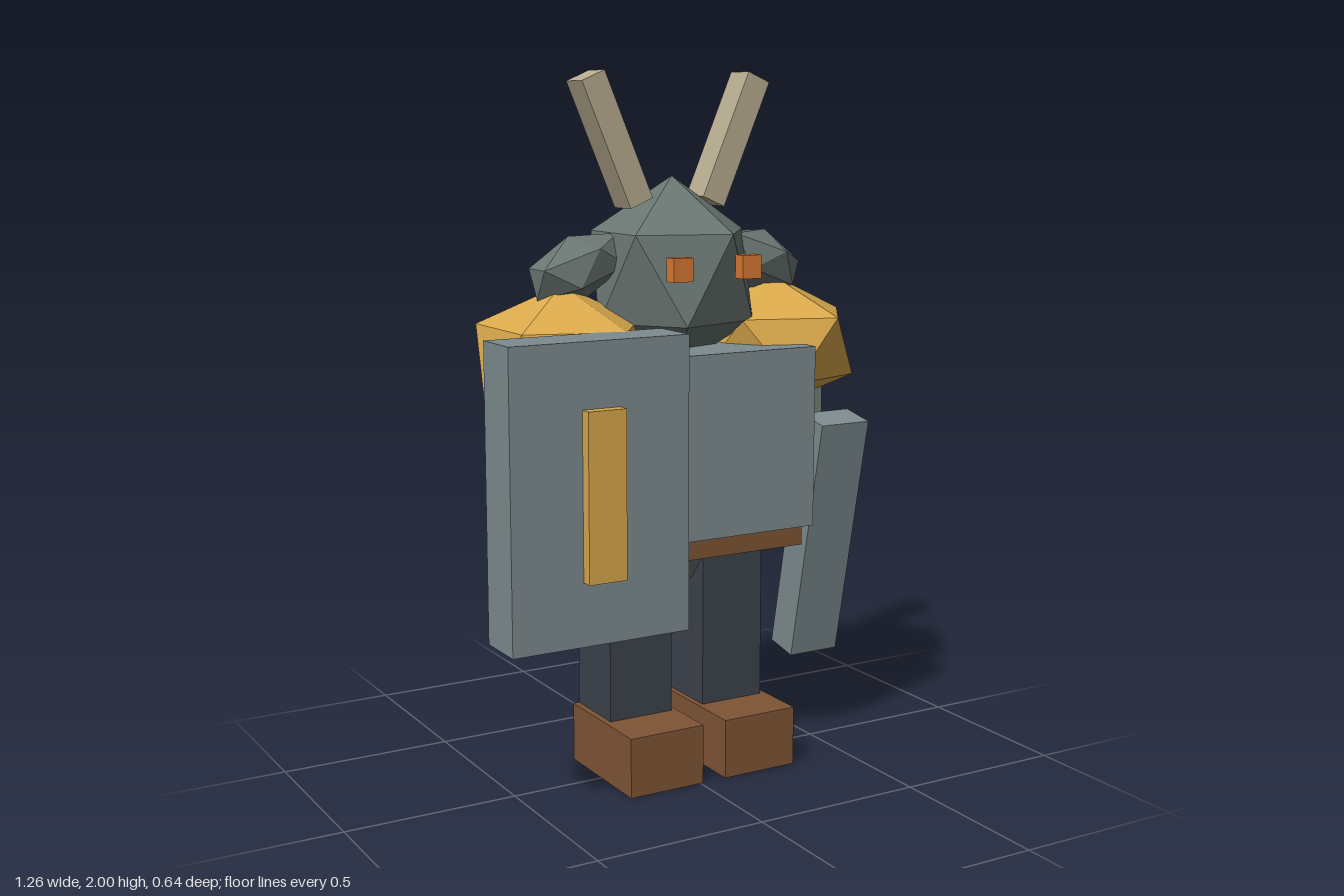
import * as THREE from 'three';

const MID = 0.045; // the figure's own line of symmetry

const paint = (color) => new THREE.MeshStandardMaterial({ color, flatShading: true });
const steel = paint(0x7d8b8f);
const iron = paint(0x6a7672);
const armGrey = paint(0x737d78);
const gold = paint(0xd9a94c);
const leather = paint(0x7f5536);
const cloth = paint(0x3d424c);
const bone = paint(0xb8ad90);
const ember = paint(0xd97832);

// Icosahedron standing on a vertex, with an upper ring vertex facing +x
const PHI = (1 + Math.sqrt(5)) / 2;
const ico = new THREE.IcosahedronGeometry(1, 0);
ico.rotateX(-Math.atan(PHI));
ico.rotateY(Math.PI / 2);

export function createModel() {
  const model = new THREE.Group();

  const add = (name, geometry, material, position) => {
    const mesh = new THREE.Mesh(geometry, material);
    mesh.name = name;
    mesh.position.set(...position);
    model.add(mesh);
    return mesh;
  };
  const box = (name, material, size, position) =>
    add(name, new THREE.BoxGeometry(...size), material, position);
  const gem = (name, material, radii, position) => {
    const mesh = add(name, ico, material, position);
    mesh.scale.set(...radii);
    return mesh;
  };

  // Body, breastplate and belt
  gem('body', iron, [0.28, 0.415, 0.232], [MID, 0.905, -0.065]);
  box('breastplate', steel, [0.634, 0.518, 0.455], [MID, 0.976, -0.03]);
  box('belt', leather, [0.614, 0.117, 0.46], [MID, 0.711, -0.075]);

  // Helmeted head
  gem('head', iron, [0.262, 0.28, 0.25], [MID, 1.43, -0.065]);

  // Paired parts
  for (const [label, s] of [['left', 1], ['right', -1]]) {
    const x = (offset) => MID + s * offset;
    box(label + 'Eye', ember, [0.06, 0.065, 0.04], [x(0.109), 1.467, 0.168]);

    const ear = gem(label + 'Ear', iron, [0.166, 0.09, 0.094], [x(0.291), 1.465, -0.08]);
    ear.rotation.z = -s * 0.35;

    const horn = box(label + 'Horn', bone, [0.075, 0.378, 0.095], [x(0.191), 1.81, -0.076]);
    horn.rotation.z = -s * 0.405;

    gem(label + 'ShoulderGuard', gold, [0.267, 0.202, 0.285], [x(0.343), 1.216, -0.078]);
    box(label + 'Arm', armGrey, [0.187, 0.555, 0.19], [x(0.372), 0.893, -0.076]);
    box(label + 'Leg', cloth, [0.2, 0.6, 0.196], [x(0.153), 0.4, -0.073]);
    box(label + 'Boot', leather, [0.234, 0.173, 0.352], [x(0.154), 0.0865, 0.003]);
  }

  // Shield on the right arm
  box('shield', steel, [0.526, 0.81, 0.15], [-0.368, 0.903, 0.212]);
  box('shieldBar', gold, [0.112, 0.458, 0.04], [-0.368, 0.902, 0.3]);

  // Blade leaning forward beside the left arm
  const blade = box('blade', steel, [0.163, 0.74, 0.108], [0.494, 0.645, 0.039]);
  blade.rotation.x = 0.2;

  return model;
}
